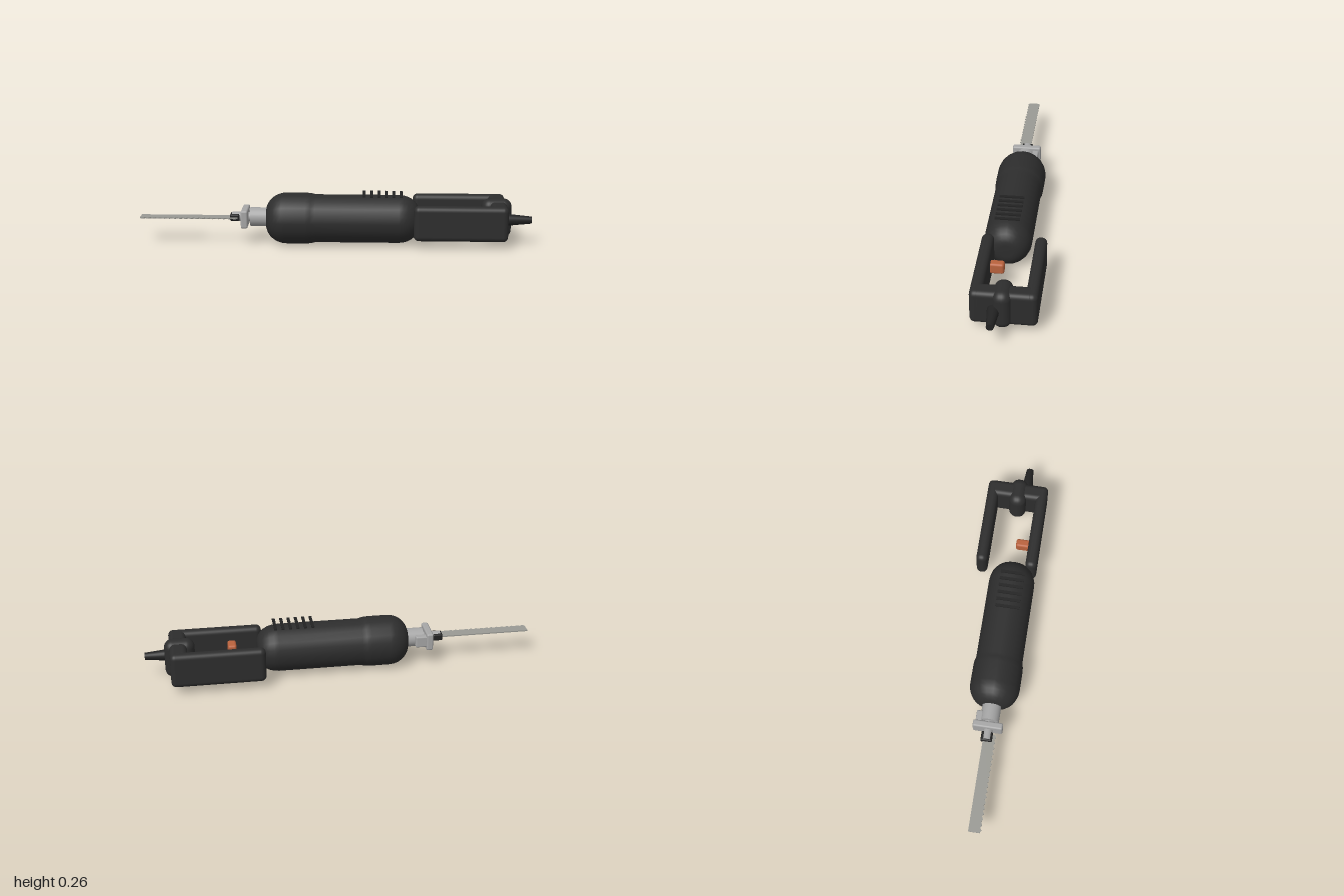
import * as THREE from 'three';
import { RoundedBoxGeometry } from 'three/addons/geometries/RoundedBoxGeometry.js';

export function createModel() {
  const saw = new THREE.Group();
  saw.name = 'reciprocatingSaw';

  const mat = (name, color) => {
    const m = new THREE.MeshStandardMaterial({ color });
    m.name = name;
    return m;
  };
  const black = mat('black casing', 0x2d2d2d);
  const dark = mat('dark rubber', 0x222222);
  const metal = mat('light metal', 0xa6a6a6);
  const steel = mat('blade steel', 0x9a9a94);
  const orange = mat('orange trigger', 0xb9623d);

  const CY = 0.133, CZ = 0.036; // main axis

  const add = (name, geometry, material, x, y, z) => {
    const mesh = new THREE.Mesh(geometry, material);
    mesh.name = name;
    mesh.position.set(x, y, z);
    saw.add(mesh);
    return mesh;
  };
  // rounded box given by its bounds
  const block = (name, material, [x0, x1], [y0, y1], [z0, z1], r) => add(name,
    new RoundedBoxGeometry(x1 - x0, y1 - y0, z1 - z0, 4, r), material,
    (x0 + x1) / 2, (y0 + y1) / 2, (z0 + z1) / 2);
  // round bar along x
  const bar = (name, material, x0, x1, r0, r1, y = CY, z = CZ) => add(name,
    new THREE.CylinderGeometry(r1, r0, x1 - x0, 24).rotateZ(-Math.PI / 2), material,
    (x0 + x1) / 2, y, z);

  // motor body: wide nose, slimmer barrel, rounded ends
  const profile = [new THREE.Vector2(0, -0.355)];
  const arc = (cx, cr, rx, rr, from, to) => {
    for (let i = 0; i <= 7; i++) {
      const a = from + (to - from) * i / 7;
      profile.push(new THREE.Vector2(cr + rr * Math.sin(a), cx + rx * Math.cos(a)));
    }
  };
  arc(-0.25, 0.036, 0.105, 0.095, Math.PI, Math.PI / 2);
  profile.push(new THREE.Vector2(0.131, -0.15), new THREE.Vector2(0.129, -0.125), new THREE.Vector2(0.123, -0.1));
  arc(0.325, 0.035, 0.105, 0.088, Math.PI / 2, 0);
  profile.push(new THREE.Vector2(0, 0.43));
  const body = add('motorBody', new THREE.LatheGeometry(profile, 20).rotateZ(-Math.PI / 2), black, 0, CY, CZ);
  body.scale.z = 0.97;

  // cooling ribs
  for (let i = 0; i < 6; i++) {
    add('ventRib', new THREE.BoxGeometry(0.015, 0.006, 0.125), dark, 0.146 + i * 0.038, 0.263, 0.04);
  }

  // D-handle
  block('frontGrip', black, [0.4, 0.875], [0.043, 0.224], [0.094, 0.154], 0.026);
  block('rearGrip', black, [0.4, 0.875], [0.043, 0.224], [-0.165, -0.107], 0.026);
  block('handleBridge', black, [0.787, 0.875], [0.043, 0.224], [-0.15, 0.14], 0.026);
  block('handleBoss', black, [0.747, 0.9], [0.033, 0.235], [-0.045, 0.045], 0.042);
  bar('cordSleeve', dark, 0.87, 1, 0.031, 0.018, 0.134, 0.038);
  block('trigger', orange, [0.533, 0.577], [0.105, 0.163], [0.027, 0.1], 0.012);

  // collar, shoe and plunger
  bar('collar', metal, -0.435, -0.33, 0.048, 0.048, 0.138);
  bar('plunger', metal, -0.53, -0.42, 0.024, 0.024, 0.138);
  block('shoePlate', metal, [-0.48, -0.445], [0.092, 0.184], [-0.043, 0.108], 0.009);
  block('shoeEar', metal, [-0.455, -0.39], [0.108, 0.168], [-0.033, 0.0], 0.007);
  block('bladeClamp', dark, [-0.54, -0.49], [0.12, 0.155], [0.006, 0.064], 0.008);

  // toothed blade lying flat
  const teeth = 18, x0 = -1, x1 = -0.5, step = (x1 - x0) / teeth;
  const outline = new THREE.Shape().moveTo(x1, 0.018).lineTo(x1, 0.074);
  for (let i = teeth - 1; i >= 0; i--) {
    outline.lineTo(x0 + (i + 0.5) * step, 0.082);
    outline.lineTo(x0 + i * step, 0.074);
  }
  outline.lineTo(x0, 0.018);
  add('blade', new THREE.ExtrudeGeometry(outline, { depth: 0.006, bevelEnabled: false }).rotateX(Math.PI / 2),
    steel, 0, 0.14, 0);

  return saw;
}
